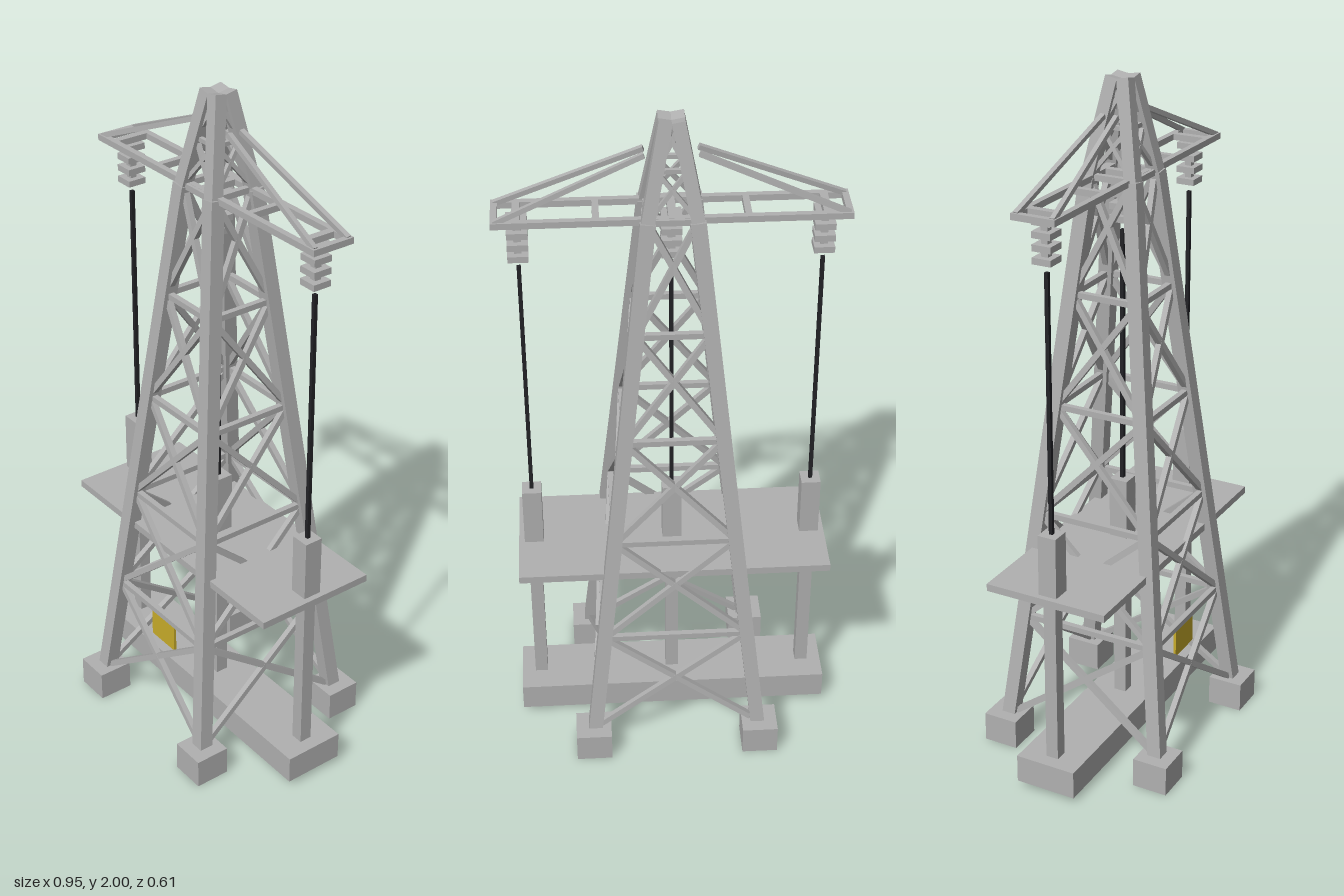
import * as THREE from 'three';

export function createModel() {
  const root = new THREE.Group();
  root.name = 'powerTower';
  const steel = new THREE.MeshStandardMaterial({ color: 0xb0b0b0 });
  steel.name = 'grey steel';
  const black = new THREE.MeshStandardMaterial({ color: 0x222226 });
  black.name = 'black cable';
  const yellow = new THREE.MeshStandardMaterial({ color: 0xc8ac2a });
  yellow.name = 'yellow sign';

  const V = (x, y, z) => new THREE.Vector3(x, y, z);
  const UP = V(0, 1, 0);

  function box(name, w, h, d, x, y, z, mat = steel) {
    const m = new THREE.Mesh(new THREE.BoxGeometry(w, h, d), mat);
    m.name = name;
    m.position.set(x, y, z);
    root.add(m);
    return m;
  }
  // Square bar between two points
  function bar(name, a, b, t) {
    const dir = b.clone().sub(a);
    const m = box(name, t, dir.length(), t, 0, 0, 0);
    m.position.copy(a).add(b).multiplyScalar(0.5);
    m.quaternion.setFromUnitVectors(UP, dir.normalize());
  }

  // Half spacing of the legs at a height; the taper steepens above the crossarm
  const BEND = 1.73;
  const half = (y) => y < BEND
    ? THREE.MathUtils.mapLinear(y, 0.08, BEND, 0.247, 0.066)
    : THREE.MathUtils.mapLinear(y, BEND, 1.995, 0.066, 0.017);
  const corners = [[1, 1], [-1, 1], [-1, -1], [1, -1]];
  const corner = (i, y) => {
    const [sx, sz] = corners[i % 4];
    return V(sx * half(y), y, sz * half(y));
  };

  // Footings and legs
  corners.forEach(([sx, sz], i) => {
    box('footing', 0.106, 0.09, 0.106, sx * 0.252, 0.045, sz * 0.252);
    bar('lowerLeg', corner(i, 0.08), corner(i, BEND), 0.042);
    bar('upperLeg', corner(i, BEND), corner(i, 1.995), 0.036);
  });

  // Lattice bracing on all four faces
  const levels = [0.08, 0.41, 0.74, 1.07, 1.4, 1.73, 1.865, 1.98];
  for (let i = 0; i < 4; i++) {
    for (let k = 0; k < levels.length - 1; k++) {
      const lo = levels[k], hi = levels[k + 1];
      const t = lo < BEND ? 0.017 : 0.012;
      bar('diagonalBrace', corner(i, lo), corner(i + 1, hi), t);
      bar('diagonalBrace', corner(i + 1, lo), corner(i, hi), t);
      bar('horizontalBrace', corner(i, hi), corner(i + 1, hi), t);
    }
  }

  // Plinth and platform
  box('plinth', 0.936, 0.085, 0.186, 0, 0.0625, 0);
  box('platform', 0.906, 0.022, 0.374, 0, 0.626, 0);

  // Crossarm rails, rungs and sloping stays
  for (const sz of [1, -1]) {
    box('crossarmRail', 0.94, 0.018, 0.018, 0, BEND, sz * 0.056);
    for (const sx of [1, -1]) {
      bar('crossarmStay', V(sx * 0.466, 1.735, sz * 0.054), V(sx * 0.072, 1.902, sz * 0.02), 0.014);
    }
  }
  for (const x of [-0.466, -0.2, 0, 0.2, 0.466]) {
    box('crossarmRung', 0.018, 0.018, 0.13, x, BEND, 0);
  }

  // Three phases: post, terminal box, cable and insulator stack
  for (const x of [-0.408, 0, 0.408]) {
    box('post', 0.038, 0.53, 0.038, x, 0.365, 0);
    box('terminalBox', 0.056, 0.19, 0.056, x, 0.725, 0);
    box('cable', 0.011, 0.755, 0.011, x, 1.195, 0, black);
    box('insulatorStem', 0.02, 0.13, 0.02, x, 1.665, 0);
    box('insulatorHanger', 0.022, 0.018, 0.12, x, BEND, 0);
    for (let k = 0; k < 4; k++) {
      box('insulatorPlate', 0.056, 0.018, 0.056, x, 1.607 + k * 0.035, 0);
    }
  }

  // Warning plate on the front
  box('warningPlate', 0.11, 0.092, 0.008, 0, 0.348, 0.203, yellow);

  return root;
}
